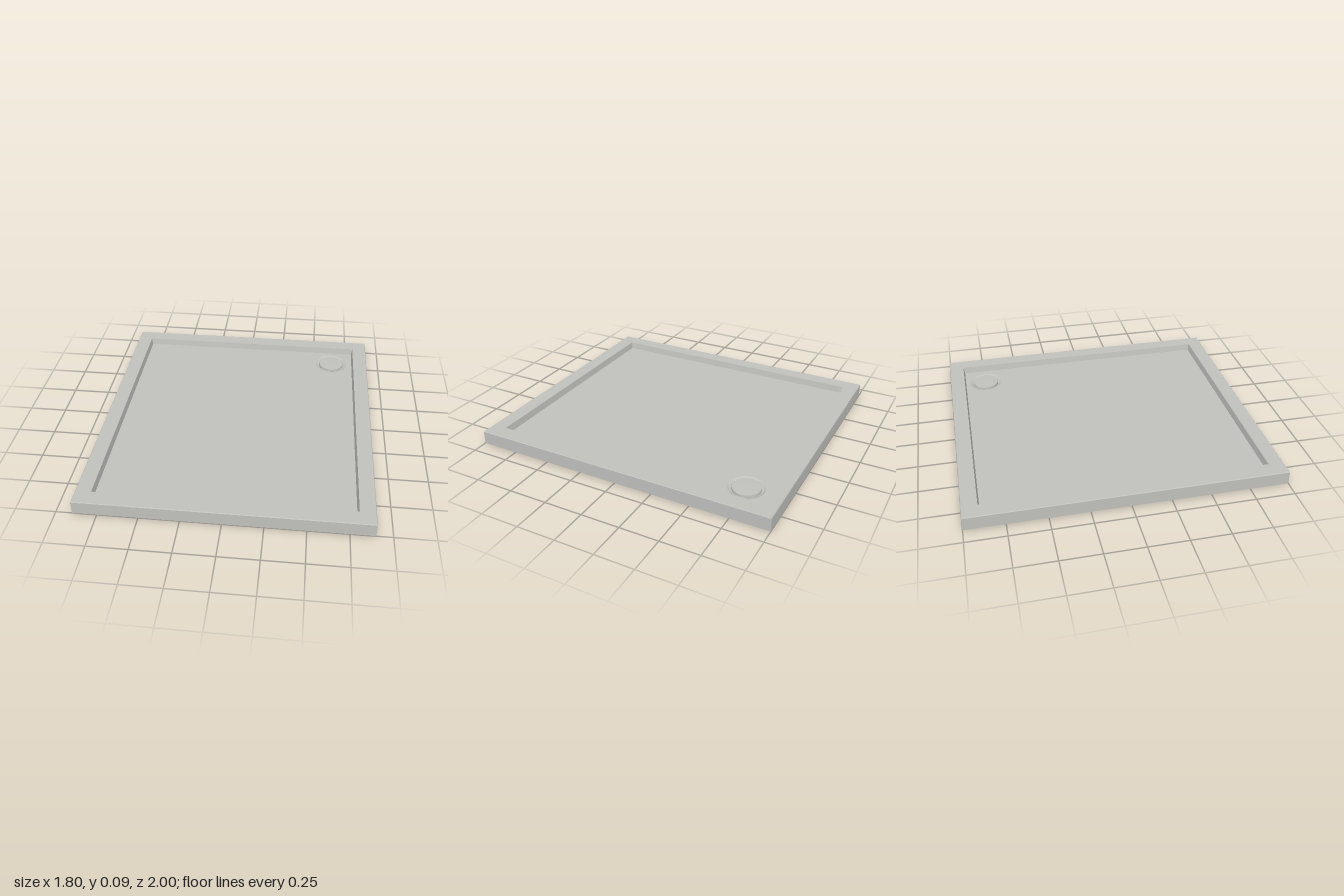
import * as THREE from 'three';

const DRAIN = { x: 0.635, z: -0.745 };
const FLOOR_Y = 0.045;

// Skin of flat bands joining rectangular loops [halfX, halfZ, y], listed from outside bottom to basin
function rectSkin(loops) {
  const corner = ([hx, hz, y], i) => [[hx, y, hz], [hx, y, -hz], [-hx, y, -hz], [-hx, y, hz]][i % 4];
  const pos = [];
  for (let k = 0; k < loops.length - 1; k++) {
    for (let i = 0; i < 4; i++) {
      const a = corner(loops[k], i), b = corner(loops[k], i + 1);
      const c = corner(loops[k + 1], i + 1), d = corner(loops[k + 1], i);
      pos.push(...a, ...b, ...c, ...a, ...c, ...d);
    }
  }
  const g = new THREE.BufferGeometry();
  g.setAttribute('position', new THREE.Float32BufferAttribute(pos, 3));
  g.computeVertexNormals();
  return g;
}

export function createModel() {
  const group = new THREE.Group();
  group.name = 'showerTray';
  const acrylic = new THREE.MeshStandardMaterial({ color: 0xc0c0bd, side: THREE.DoubleSide });
  acrylic.name = 'pale grey acrylic';
  const add = (name, geometry, x = 0, y = 0, z = 0) => {
    const mesh = new THREE.Mesh(geometry, acrylic);
    mesh.name = name;
    mesh.position.set(x, y, z);
    group.add(mesh);
  };

  // Open-bottomed skirt, softened top edge and flat rim
  add('skirtAndRim', rectSkin([
    [0.9, 1, 0], [0.9, 1, 0.085], [0.896, 0.996, 0.09], [0.8, 0.9, 0.09],
  ]));

  // Slightly sloped walls of the basin
  add('basinWalls', rectSkin([[0.8, 0.9, 0.09], [0.792, 0.892, FLOOR_Y]]));

  // Basin floor with a round opening for the drain
  const floor = new THREE.Shape([
    new THREE.Vector2(-0.792, -0.892), new THREE.Vector2(0.792, -0.892),
    new THREE.Vector2(0.792, 0.892), new THREE.Vector2(-0.792, 0.892),
  ]);
  const hole = new THREE.Path();
  hole.absarc(DRAIN.x, -DRAIN.z, 0.115, 0, Math.PI * 2, true);
  floor.holes.push(hole);
  add('basinFloor', new THREE.ShapeGeometry(floor, 24).rotateX(-Math.PI / 2), 0, FLOOR_Y, 0);

  // Shallow dish sinking around the drain
  const dish = [[0, -0.012], [0.09, -0.012], [0.1, -0.009], [0.115, 0]];
  add('drainDish', new THREE.LatheGeometry(dish.map(([r, y]) => new THREE.Vector2(r, y)), 48),
    DRAIN.x, FLOOR_Y, DRAIN.z);

  // Round drain cover with a softened edge
  const cap = [[0.09, -0.012], [0.09, 0.003], [0.087, 0.006], [0, 0.006]];
  add('drainCover', new THREE.LatheGeometry(cap.map(([r, y]) => new THREE.Vector2(r, y)), 48),
    DRAIN.x, FLOOR_Y, DRAIN.z);

  return group;
}
